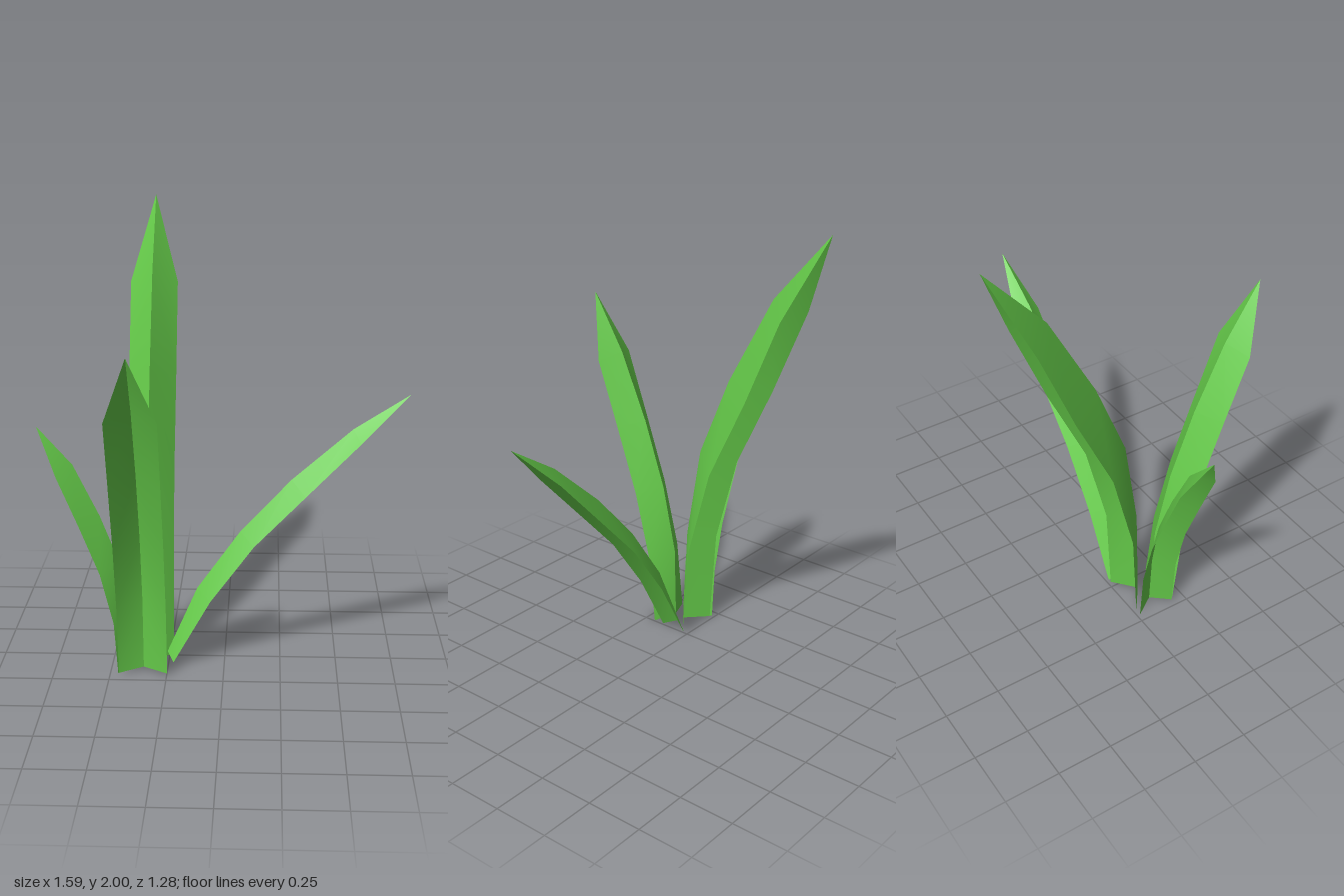
import * as THREE from 'three';

const material = new THREE.MeshStandardMaterial({ color: 0x66cc4a, side: THREE.DoubleSide, roughness: 0.9 });

// One half of a folded blade; points are [distance outward, height], base to tip
function halfBlade(ridge, edge, tip, x) {
  const pos = [], index = [];
  ridge.forEach(([d, y], i) => pos.push(0, y, d, x, edge[i][1], edge[i][0]));
  pos.push(0, tip[1], tip[0]);
  const tri = (a, b, c) => (x > 0 ? index.push(a, b, c) : index.push(a, c, b));
  const last = ridge.length - 1;
  for (let i = 0; i < last; i++) {
    const k = i * 2;
    tri(k, k + 2, k + 1);
    tri(k + 1, k + 2, k + 3);
  }
  tri(last * 2, last * 2 + 2, last * 2 + 1);
  const g = new THREE.BufferGeometry();
  g.setAttribute('position', new THREE.Float32BufferAttribute(pos, 3));
  g.setIndex(index);
  g.computeVertexNormals();
  return g;
}

// Each blade leans along its local +z, then turns to its direction
const blades = [
  {
    name: 'frontBlade', turn: 0, at: [-0.355, 0], half: 0.107, tip: [0.64, 1.54],
    ridge: [[0.15, 0.015], [0.16, 0.35], [0.23, 0.66], [0.34, 0.97], [0.48, 1.28]],
    edge: [[0.195, 0.005], [0.23, 0.33], [0.31, 0.64], [0.42, 0.95], [0.53, 1.25]],
  },
  {
    name: 'backBlade', turn: Math.PI, at: [-0.335, 0], half: 0.106, tip: [0.64, 2],
    ridge: [[-0.09, 0.02], [-0.07, 0.48], [0, 0.91], [0.15, 1.28], [0.37, 1.69]],
    edge: [[-0.01, 0.01], [0.02, 0.45], [0.13, 0.86], [0.31, 1.24], [0.475, 1.63]],
  },
  {
    name: 'leftBlade', turn: Math.PI / 2, at: [0, 0.063], half: 0.062, tip: [0.79, 1.255],
    ridge: [[-0.255, 0.05], [-0.12, 0.36], [0.07, 0.63], [0.29, 0.87], [0.55, 1.1]],
    edge: [[-0.225, 0.025], [-0.06, 0.32], [0.13, 0.58], [0.35, 0.81], [0.58, 1.05]],
  },
  {
    name: 'rightBlade', turn: -Math.PI / 2, at: [0, 0.102], half: 0.088, tip: [0.8, 1.11],
    ridge: [[0.41, 0.015], [0.42, 0.26], [0.46, 0.5], [0.54, 0.71], [0.65, 0.94]],
    edge: [[0.465, 0], [0.48, 0.24], [0.535, 0.47], [0.62, 0.69], [0.71, 0.91]],
  },
];

export function createModel() {
  const model = new THREE.Group();
  model.name = 'grassTuft';
  for (const { name, turn, at, half, tip, ridge, edge } of blades) {
    const blade = new THREE.Group();
    blade.name = name;
    for (const side of [-1, 1]) {
      const mesh = new THREE.Mesh(halfBlade(ridge, edge, tip, side * half), material);
      mesh.name = name + (side > 0 ? 'HalfA' : 'HalfB');
      blade.add(mesh);
    }
    blade.position.set(at[0], 0, at[1]);
    blade.rotation.y = turn;
    model.add(blade);
  }
  return model;
}
